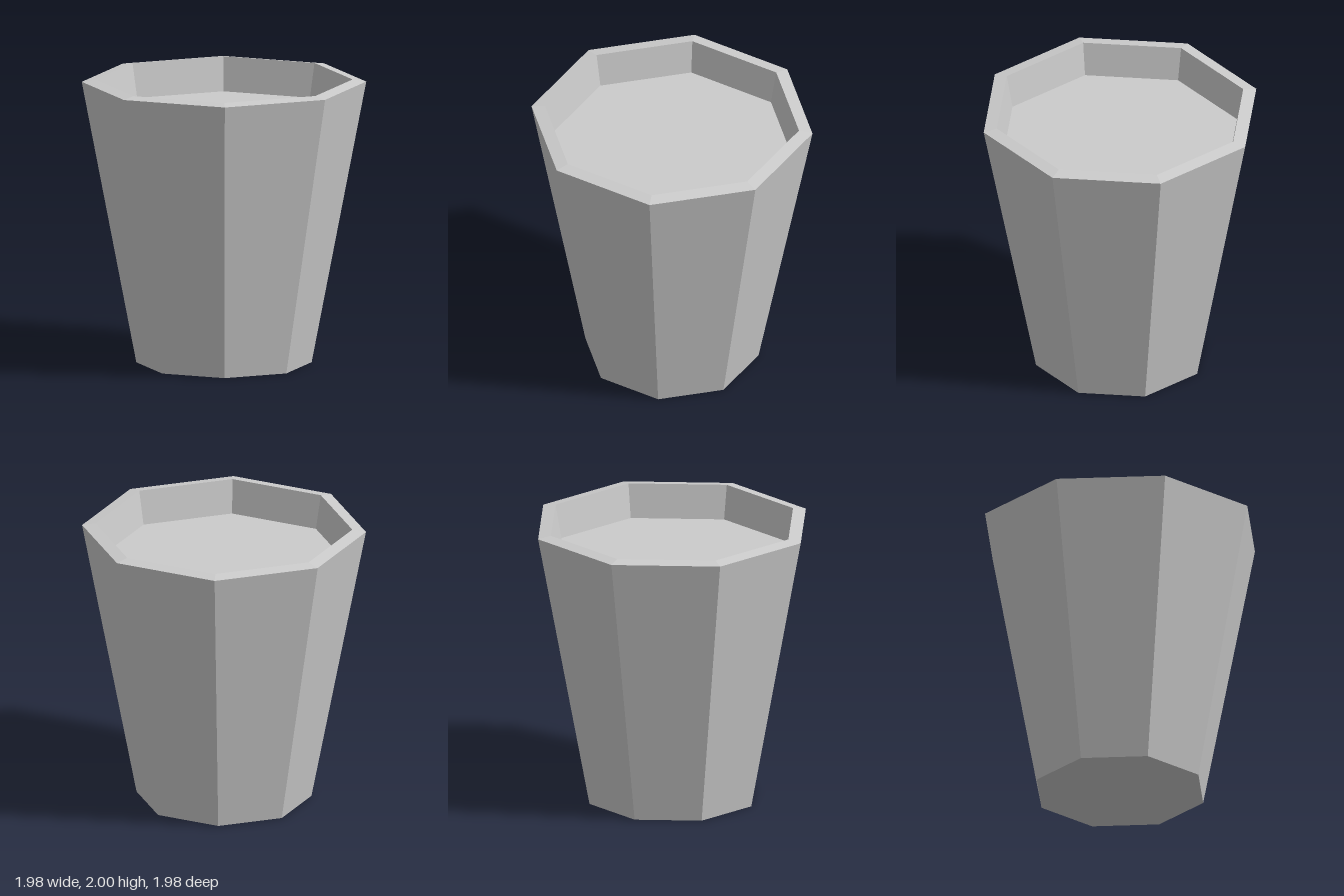
import * as THREE from 'three';

const SIDES = 8;
const FILL_RADIUS = 0.85;
const FILL_HEIGHT = 1.76;

export function createModel() {
  const model = new THREE.Group();
  model.name = 'planter';
  const material = new THREE.MeshStandardMaterial({ color: 0xcccccc, flatShading: true });

  // Tapered octagonal pot: base, outer wall, bevelled rim, inner wall
  const profile = [
    [0, 0],
    [0.61, 0],
    [0.99, 1.985],
    [0.895, 2],
    [FILL_RADIUS, FILL_HEIGHT],
  ].map(([r, y]) => new THREE.Vector2(r, y));
  const pot = new THREE.Mesh(new THREE.LatheGeometry(profile, SIDES).toNonIndexed(), material);
  pot.geometry.computeVertexNormals();
  pot.name = 'pot';
  model.add(pot);

  // Flat fill surface recessed below the rim
  const fill = new THREE.Mesh(new THREE.CircleGeometry(FILL_RADIUS, SIDES), material);
  fill.name = 'soil';
  fill.rotation.x = -Math.PI / 2;
  fill.position.y = FILL_HEIGHT;
  model.add(fill);

  return model;
}
